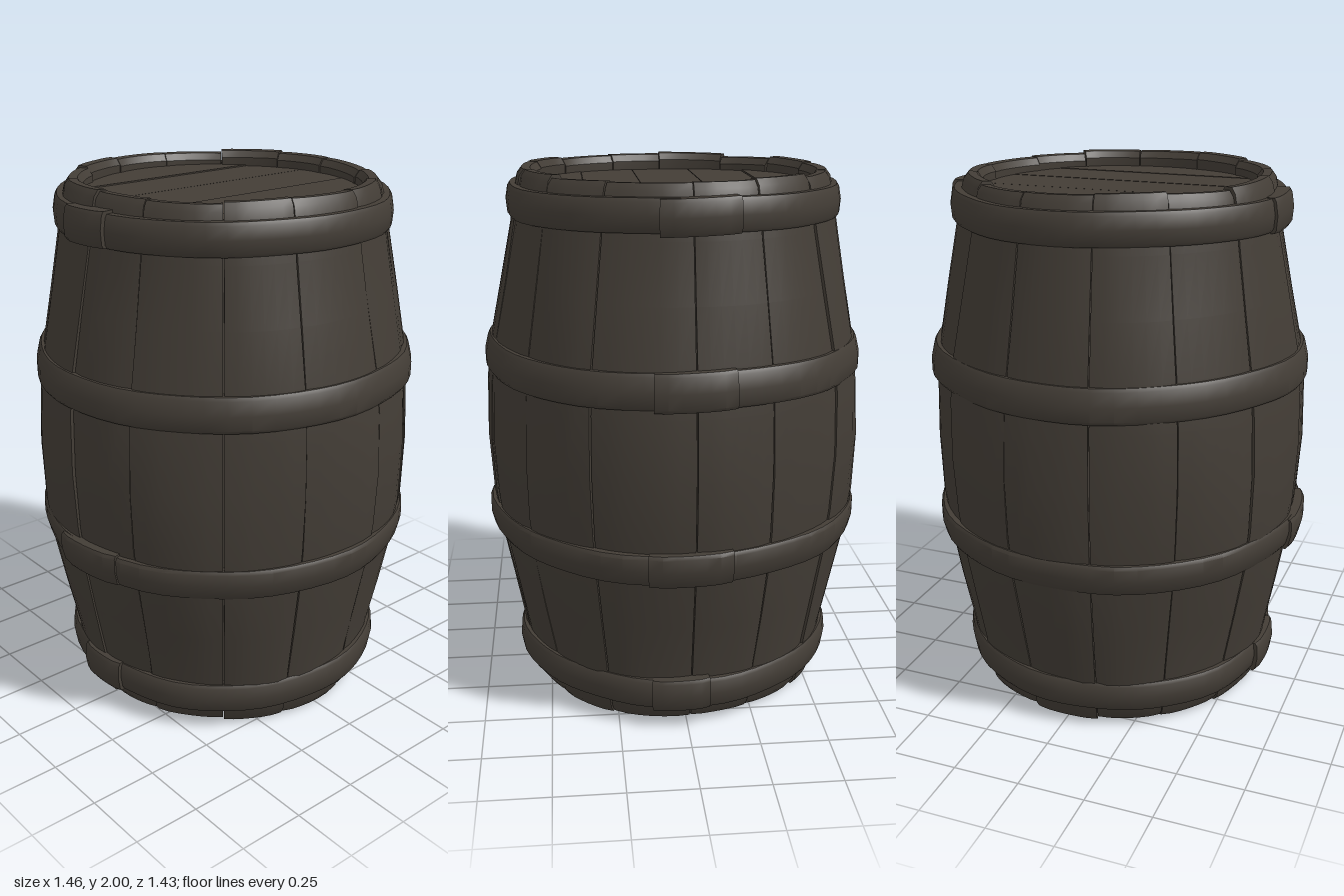
import * as THREE from 'three';
import { toCreasedNormals } from 'three/addons/utils/BufferGeometryUtils.js';

const wood = new THREE.MeshStandardMaterial({ color: 0x433d36 });
wood.name = 'dark weathered wood';

// Small seeded generator for hand-cut irregularities, in the range -1 to 1
let seed = 11;
function jitter() {
  seed = (seed * 16807) % 2147483647;
  return (seed / 2147483647) * 2 - 1;
}

// Sweeps a closed counter-clockwise (radius, y) profile around the y axis from a0 to a1.
// bend(angle, t, r, y) may shift a point by returning [radius, y].
function sweep(profile, a0, a1, segments, bend = (a, t, r, y) => [r, y]) {
  const full = Math.abs(a1 - a0 - Math.PI * 2) < 1e-6;
  const n = profile.length;
  const columns = [];
  for (let i = 0; i <= segments; i++) {
    const t = i / segments;
    const a = a0 + (a1 - a0) * t;
    columns.push(profile.map(([r0, y0]) => {
      const [r, y] = bend(a, t, r0, y0);
      return [r * Math.sin(a), y, r * Math.cos(a)];
    }));
  }
  const pos = [];
  for (let i = 0; i < segments; i++) {
    for (let j = 0; j < n; j++) {
      const k = (j + 1) % n;
      const [a, b, c, d] = [columns[i][j], columns[i + 1][j], columns[i + 1][k], columns[i][k]];
      pos.push(...a, ...b, ...c, ...a, ...c, ...d);
    }
  }
  if (!full) {
    const faces = THREE.ShapeUtils.triangulateShape(profile.map(p => new THREE.Vector2(...p)), []);
    for (const [a, b, c] of faces) {
      const s = columns[0], e = columns[segments];
      pos.push(...s[a], ...s[b], ...s[c], ...e[a], ...e[c], ...e[b]);
    }
  }
  const g = new THREE.BufferGeometry();
  g.setAttribute('position', new THREE.Float32BufferAttribute(pos, 3));
  return toCreasedNormals(g, 0.6);
}

function add(group, name, geometry) {
  const mesh = new THREE.Mesh(geometry, wood);
  mesh.name = name;
  group.add(mesh);
  return mesh;
}

// Outer curve of the barrel, bottom to top
const belly = [
  [0.555, 0.012], [0.572, 0.035], [0.588, 0.1], [0.605, 0.22], [0.645, 0.42], [0.683, 0.62],
  [0.703, 0.78], [0.713, 1.0], [0.705, 1.22], [0.684, 1.39], [0.645, 1.59],
  [0.605, 1.8], [0.588, 1.91], [0.574, 1.97], [0.557, 1.992],
];
const staveProfile = [
  ...belly,
  [0.525, 1.99], [0.508, 1.965], [0.51, 1.88], [0.62, 1.39], [0.645, 1.0],
  [0.62, 0.6], [0.51, 0.12], [0.508, 0.04], [0.525, 0.015],
];

function addStaves(group) {
  const count = 14, step = Math.PI * 2 / count;
  const cuts = [];
  for (let i = 0; i < count; i++) cuts.push((i - 0.52) * step + jitter() * 0.05);
  cuts.push(cuts[0] + Math.PI * 2);
  for (let i = 0; i < count; i++) {
    const out = jitter() * 0.004, topLift = jitter() * 0.009, bottomLift = jitter() * 0.008;
    const tilt = jitter() * 0.006;
    const stave = sweep(staveProfile, cuts[i] + 0.003, cuts[i + 1] - 0.003, 6, (a, t, r, y) => {
      const edge = t === 0 || t === 1 ? 0.004 : 0;
      const dent = 0.004 * Math.sin(y * 5 + i * 2.3 + t * 3);
      let h = y;
      if (y > 1.9) h += topLift - 0.002 + tilt * (t - 0.5);
      if (y < 0.1) h += bottomLift + tilt * (t - 0.5);
      return [r + out + dent - edge, Math.min(2, Math.max(0, h))];
    });
    add(group, 'stave', stave);
  }
  // Thin inner wall closing the joints between the staves
  const wall = belly.slice(2, -2).map(([r, y]) => new THREE.Vector2(r - 0.025, y));
  add(group, 'innerWall', new THREE.LatheGeometry(wall, 56));
}

// Hoop profile: bottom radius, top radius, bottom y, top y
function hoopProfile(r0, r1, y0, y1) {
  const m = (y0 + y1) / 2;
  return [
    [r0 - 0.06, y0], [r0 - 0.008, y0], [r0, y0 + 0.012], [(r0 + r1) / 2 + 0.006, m],
    [r1, y1 - 0.012], [r1 - 0.008, y1], [r1 - 0.06, y1],
  ];
}

function addHoop(group, index, [r0, r1, y0, y1], laps) {
  const hoop = sweep(hoopProfile(r0, r1, y0, y1), 0, Math.PI * 2, 56, (a, t, r, y) => [
    r + 0.004 * Math.sin(5 * a + index * 1.7) + 0.002 * Math.sin(11 * a + index),
    y + 0.003 * Math.sin(3 * a + index),
  ]);
  add(group, 'hoop', hoop);
  // Overlapping hoop ends
  for (const [centre, half, lift] of laps) {
    const lap = hoopProfile(r0 + lift, r1 + lift, y0 - 0.004, y1 + 0.004);
    add(group, 'hoopOverlap', sweep(lap, centre - half, centre + half, 6,
      (a, t, r, y) => [r - (t === 0 || t === 1 ? 0.006 : 0), y + 0.008 * (t - 0.5)]));
  }
}

// Recessed end made of boards, each cut to the circle between two chords
function addHead(group, name, y, facing) {
  const R = 0.53, chords = [-0.53, -0.33, -0.12, 0.11, 0.32, 0.53];
  for (let i = 0; i < chords.length - 1; i++) {
    const z0 = chords[i] + 0.001, z1 = chords[i + 1] - 0.001;
    const shape = new THREE.Shape();
    for (let k = 0; k <= 16; k++) {
      const z = z0 + (z1 - z0) * (k % 17) / 16;
      const x = Math.sqrt(Math.max(0, R * R - z * z));
      if (k === 0) shape.moveTo(x, z); else shape.lineTo(x, z);
    }
    for (let k = 16; k >= 0; k--) {
      const z = z0 + (z1 - z0) * k / 16;
      shape.lineTo(-Math.sqrt(Math.max(0, R * R - z * z)), z);
    }
    const board = new THREE.ExtrudeGeometry(shape, { depth: 0.04, bevelEnabled: false });
    const mesh = add(group, name, board);
    mesh.rotation.x = facing > 0 ? -Math.PI / 2 : Math.PI / 2;
    mesh.position.y = y - facing * 0.04 + jitter() * 0.003;
  }
}

export function createModel() {
  const barrel = new THREE.Group();
  barrel.name = 'barrel';

  addStaves(barrel);

  const left = Math.PI / 2, right = -Math.PI / 2;
  addHoop(barrel, 0, [0.612, 0.616, 0.085, 0.2], [[left - 0.04, 0.17, 0.02], [right, 0.18, 0.016]]);
  addHoop(barrel, 1, [0.703, 0.715, 0.62, 0.735], [[left, 0.21, 0.014], [right + 0.1, 0.21, 0.016]]);
  addHoop(barrel, 2, [0.715, 0.703, 1.255, 1.38], [[left + 0.02, 0.2, 0.01]]);
  addHoop(barrel, 3, [0.616, 0.612, 1.825, 1.94], [[left + 0.06, 0.22, 0.02], [right, 0.18, 0.018]]);

  addHead(barrel, 'topBoard', 1.935, 1);
  addHead(barrel, 'bottomBoard', 0.07, -1);

  return barrel;
}
